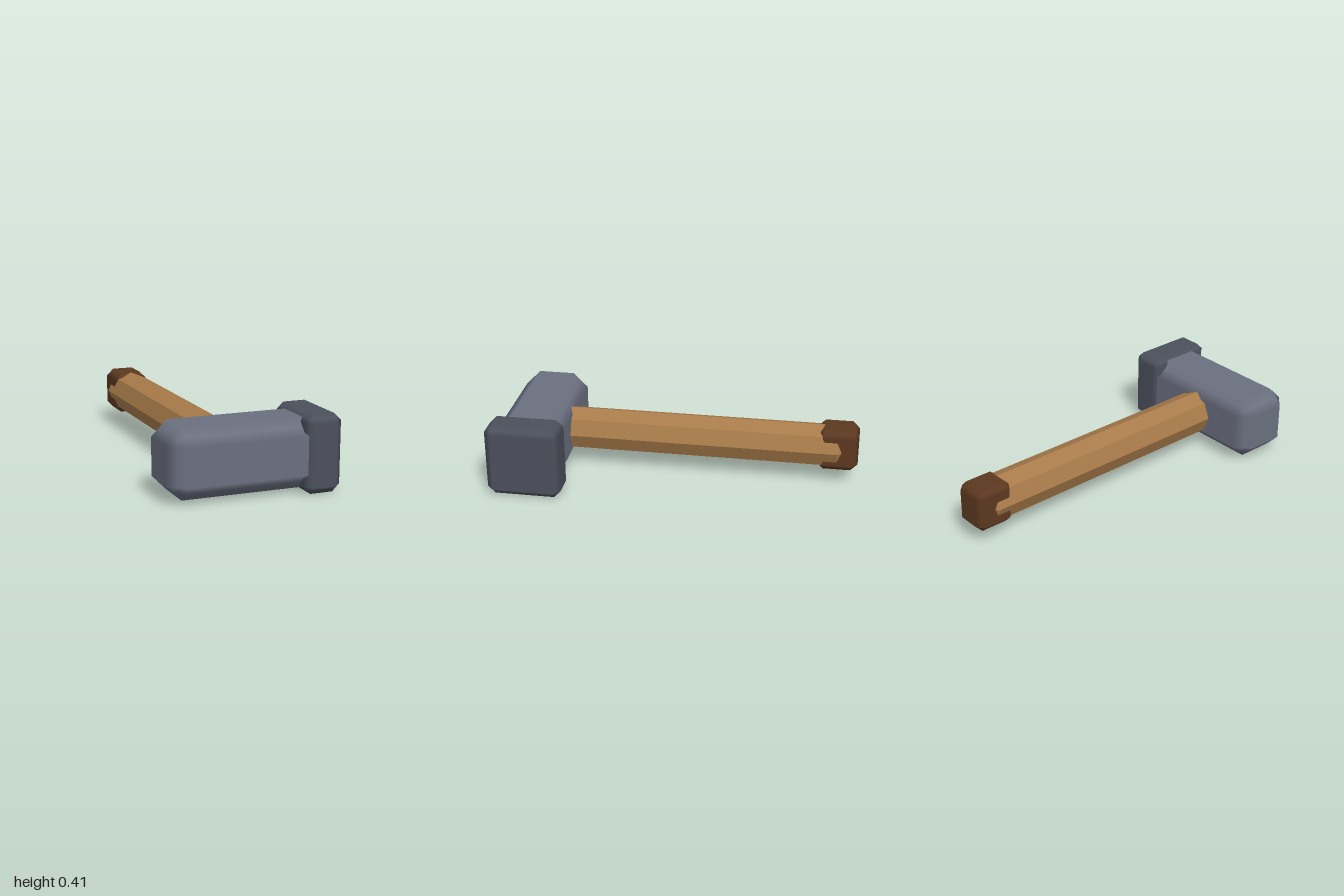
import * as THREE from 'three';
import { RoundedBoxGeometry } from 'three/addons/geometries/RoundedBoxGeometry.js';

const CENTER_X = -0.05;
const CENTER_Y = 0.206;

// Box with straight 45 degree chamfers and softly blended normals
function chamferBox(name, size, position, chamfer, color) {
  const geometry = new RoundedBoxGeometry(...size, 1, chamfer);
  const p = geometry.attributes.position;
  const n = geometry.attributes.normal;
  const v = new THREE.Vector3();
  for (let i = 0; i < p.count; i++) {
    v.fromBufferAttribute(n, i);
    const pull = chamfer * (1 / (Math.abs(v.x) + Math.abs(v.y) + Math.abs(v.z)) - 1);
    p.setXYZ(i, p.getX(i) + v.x * pull, p.getY(i) + v.y * pull, p.getZ(i) + v.z * pull);
  }
  const mesh = new THREE.Mesh(geometry, new THREE.MeshStandardMaterial({ color }));
  mesh.name = name;
  mesh.position.set(...position);
  return mesh;
}

// Octagonal shaft along z with bevelled ends
function makeHandle() {
  const radius = 0.122, bevel = 0.04, back = 0.884, front = -0.72;
  const profile = [
    [0, front - bevel], [radius - bevel, front - bevel], [radius, front],
    [radius, back], [radius - bevel, back + bevel], [0, back + bevel],
  ].map(([r, y]) => new THREE.Vector2(r, y));
  const geometry = new THREE.LatheGeometry(profile, 8);
  geometry.rotateX(-Math.PI / 2);
  const mesh = new THREE.Mesh(
    geometry,
    new THREE.MeshStandardMaterial({ color: 0xa87b4a, flatShading: true }),
  );
  mesh.name = 'handle';
  mesh.position.set(CENTER_X, CENTER_Y, 0);
  return mesh;
}

export function createModel() {
  const group = new THREE.Group();
  group.name = 'hammer';
  group.add(
    // Heavy block and the thicker striking end
    chamferBox('head', [0.82, 0.366, 0.366], [CENTER_X, CENTER_Y, 0.795], 0.082, 0x6b7080),
    chamferBox('strikingFace', [0.203, 0.41, 0.41], [0.357, CENTER_Y, 0.795], 0.04, 0x4c505c),
    makeHandle(),
    // Cap at the grip end
    chamferBox('pommel', [0.203, 0.244, 0.23], [CENTER_X - 0.004, CENTER_Y, -0.885], 0.04, 0x5c3820),
  );
  return group;
}
